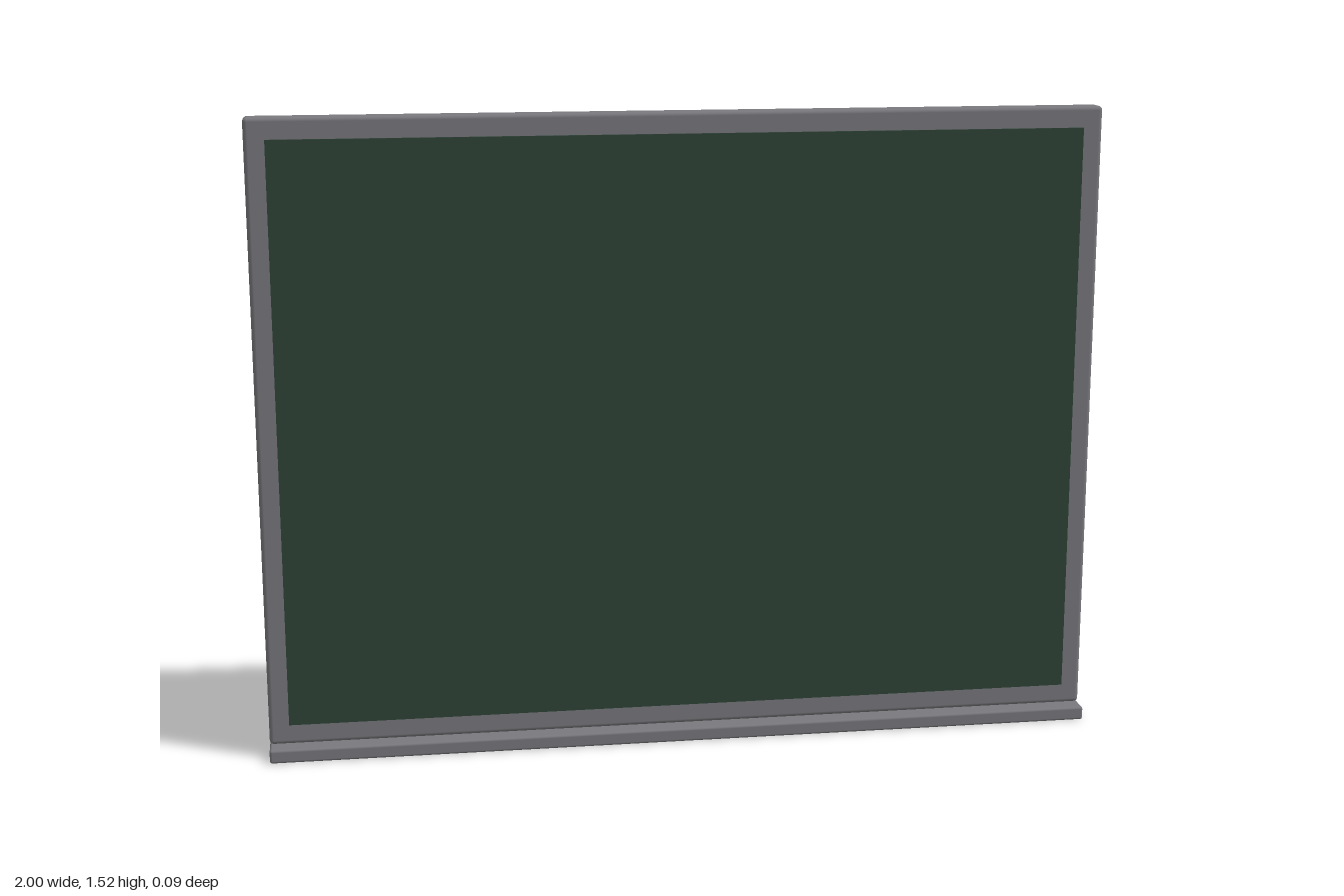
import * as THREE from 'three';
import { RoundedBoxGeometry } from 'three/addons/geometries/RoundedBoxGeometry.js';

export function createModel() {
  const metal = new THREE.MeshStandardMaterial({ name: 'greyFrame', color: 0x7a797e });
  const green = new THREE.MeshStandardMaterial({ name: 'boardGreen', color: 0x2f4438 });
  const model = new THREE.Group();
  model.name = 'chalkboard';

  // Adds a part spanning the given y and z ranges, centred on x
  const add = (name, material, width, [y0, y1], [z0, z1], radius) => {
    const size = [width, y1 - y0, z1 - z0];
    const geometry = radius
      ? new RoundedBoxGeometry(...size, 2, radius)
      : new THREE.BoxGeometry(...size);
    const mesh = new THREE.Mesh(geometry, material);
    mesh.name = name;
    mesh.position.set(0, (y0 + y1) / 2, (z0 + z1) / 2);
    model.add(mesh);
  };

  // Solid backing slab whose rim shows as the frame
  add('frame', metal, 2, [0.033, 1.52], [-0.046, 0.007], 0.01);
  // Writing surface, slightly proud of the frame
  add('writingSurface', green, 1.905, [0.083, 1.47], [0.004, 0.013]);
  // Ledge for chalk along the bottom
  add('chalkTray', metal, 2, [0, 0.033], [-0.046, 0.046], 0.006);

  return model;
}
